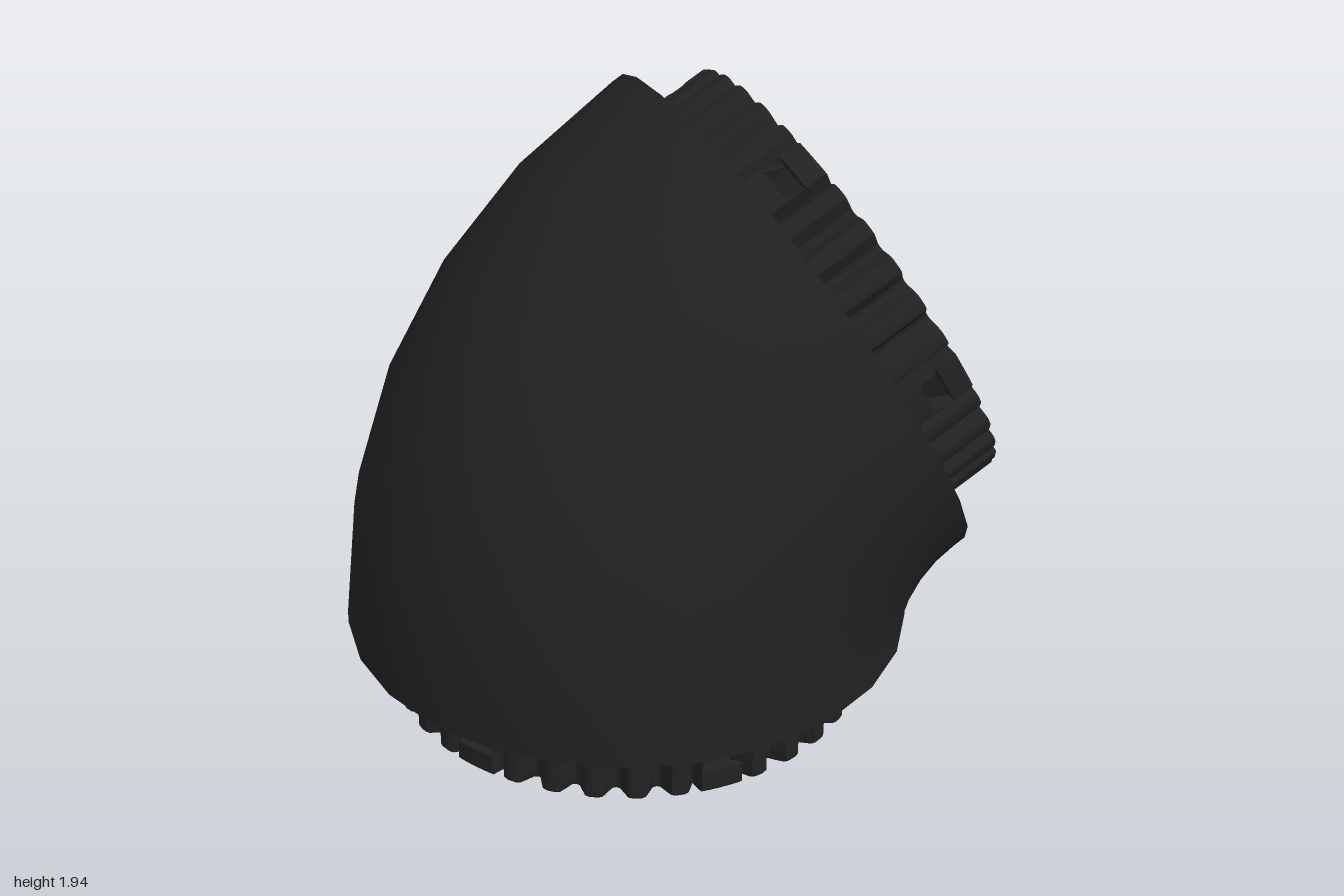
import * as THREE from 'three';
import { toCreasedNormals } from 'three/addons/utils/BufferGeometryUtils.js';

const BEND = Math.PI / 3, PIVOT_X = 0.98, PIVOT_Y = 0.23;
const FACE_R = 1.09;                                        // pivot to the centre of each end face
const STRAIGHT = 0.04;                                      // short straight run at each end
const BEND_R = FACE_R - STRAIGHT / Math.tan(BEND / 2);      // radius of the bend itself
const OUTER = 0.89, BORE = 0.6, SLEEVE = 0.58, LENGTH = 0.22, SIDES = 26;
const rad = THREE.MathUtils.degToRad;

// Signed distance in degrees to the nearest multiple of a pitch.
const wrap = (deg, pitch) => deg - pitch * Math.round(deg / pitch);

// Toothed outer wall, with six wider blocks that each carry a ramped pocket.
function outerRadius(deg, h) {
  const block = Math.abs(wrap(deg - 30, 60));
  if (block <= 5) {
    const t = (h - 0.083) / 0.064;
    if (t > 0 && t < 1 && block <= 3 + 2 * t) return 0.7 + 0.03 * t;
    return 0.755;
  }
  const tooth = Math.round(Math.abs(wrap(deg, 10)));
  return [0.755, 0.755, 0.75, 0.728, 0.705, 0.7][tooth];
}

// Bore wall with a stepped lip and six rounded notches open to the rim.
function innerRadius(deg, h) {
  const base = h > 0.195 ? 0.605 : SLEEVE;
  const depth = Math.min(1, (LENGTH - h) / 0.17);
  const notch = 0.09 * Math.sqrt(1 - depth * depth);
  const s = 0.6 * rad(wrap(deg, 60));
  if (Math.abs(s) >= notch) return base;
  return Math.max(base, SLEEVE + 0.8 * Math.sqrt(notch * notch - s * s));
}

// Closed cross-section swept once round the local y axis.
function couplingGeometry(gap) {
  const outerH = [gap, 0.082, 0.085, 0.145, 0.148, 0.21];
  const innerH = [LENGTH, 0.197, 0.193, 0.16, 0.12, 0.09, 0.07, 0.055, 0.05, -0.02];
  const steps = 360;
  const section = deg => [
    ...outerH.map(h => [outerRadius(deg, h), h]),
    [outerRadius(deg, LENGTH) - 0.008, LENGTH],
    ...innerH.map(h => [innerRadius(deg, h), h]),
    [BORE, -0.02], [BORE, gap],
  ];
  const positions = [], index = [];
  let n = 0;
  for (let i = 0; i < steps; i++) {
    const a = rad(i), pts = section(i);
    n = pts.length;
    for (const [r, h] of pts) positions.push(r * Math.cos(a), h, r * Math.sin(a));
  }
  for (let i = 0; i < steps; i++) {
    for (let j = 0; j < n; j++) {
      const k = (j + 1) % n, next = ((i + 1) % steps) * n;
      const a = i * n + j, b = i * n + k, c = next + j, d = next + k;
      index.push(a, b, c, b, d, c);
    }
  }
  const g = new THREE.BufferGeometry();
  g.setAttribute('position', new THREE.Float32BufferAttribute(positions, 3));
  g.setIndex(index);
  return toCreasedNormals(g, rad(28));
}

export function createModel() {
  const model = new THREE.Group();
  model.name = 'pipeElbow';
  const plastic = new THREE.MeshStandardMaterial({ color: 0x222222, side: THREE.DoubleSide });
  plastic.name = 'black plastic';

  const add = (parent, name, geometry) => {
    const mesh = new THREE.Mesh(geometry, plastic);
    mesh.name = name;
    parent.add(mesh);
    return mesh;
  };

  // Slight lean of the whole fitting about the lower joint.
  const fitting = new THREE.Group();
  fitting.name = 'fitting';
  fitting.position.y = PIVOT_Y;
  fitting.rotation.z = -0.0105;
  model.add(fitting);

  // Bent hollow shell.
  const shell = add(fitting, 'bentShell', new THREE.TorusGeometry(BEND_R, OUTER, SIDES, 5, BEND));
  shell.rotation.z = Math.PI - BEND;
  shell.position.set(PIVOT_X - FACE_R + BEND_R, STRAIGHT, 0);

  // One end: straight run, thin flat flange and toothed coupling, along local y.
  const addEnd = (name, x, y, turn, gap) => {
    const end = new THREE.Group();
    end.name = name;
    end.position.set(x, y, 0);
    end.rotation.z = turn;
    fitting.add(end);
    const run = new THREE.CylinderGeometry(OUTER, OUTER, STRAIGHT, SIDES, 1, true);
    run.rotateY(Math.PI / 2);
    add(end, 'straightRun', run).position.y = -STRAIGHT / 2;
    add(end, 'flangeFace', new THREE.RingGeometry(SLEEVE + 0.01, OUTER, SIDES).rotateX(-Math.PI / 2));
    add(end, 'toothedCoupling', couplingGeometry(gap));
    // Small locating pins on the rim beside the pockets.
    for (let i = 0; i < 6; i++) {
      const a = rad(30 + 60 * i);
      const pin = add(end, 'locatingPin', new THREE.CylinderGeometry(0.018, 0.018, 0.006, 8));
      pin.position.set(0.63 * Math.cos(a), LENGTH, 0.63 * Math.sin(a));
    }
  };
  addEnd('lowerEnd', PIVOT_X - FACE_R, 0, Math.PI, 0);
  addEnd('upperEnd', PIVOT_X - FACE_R * Math.cos(BEND), FACE_R * Math.sin(BEND), -BEND, 0.007);

  return model;
}
